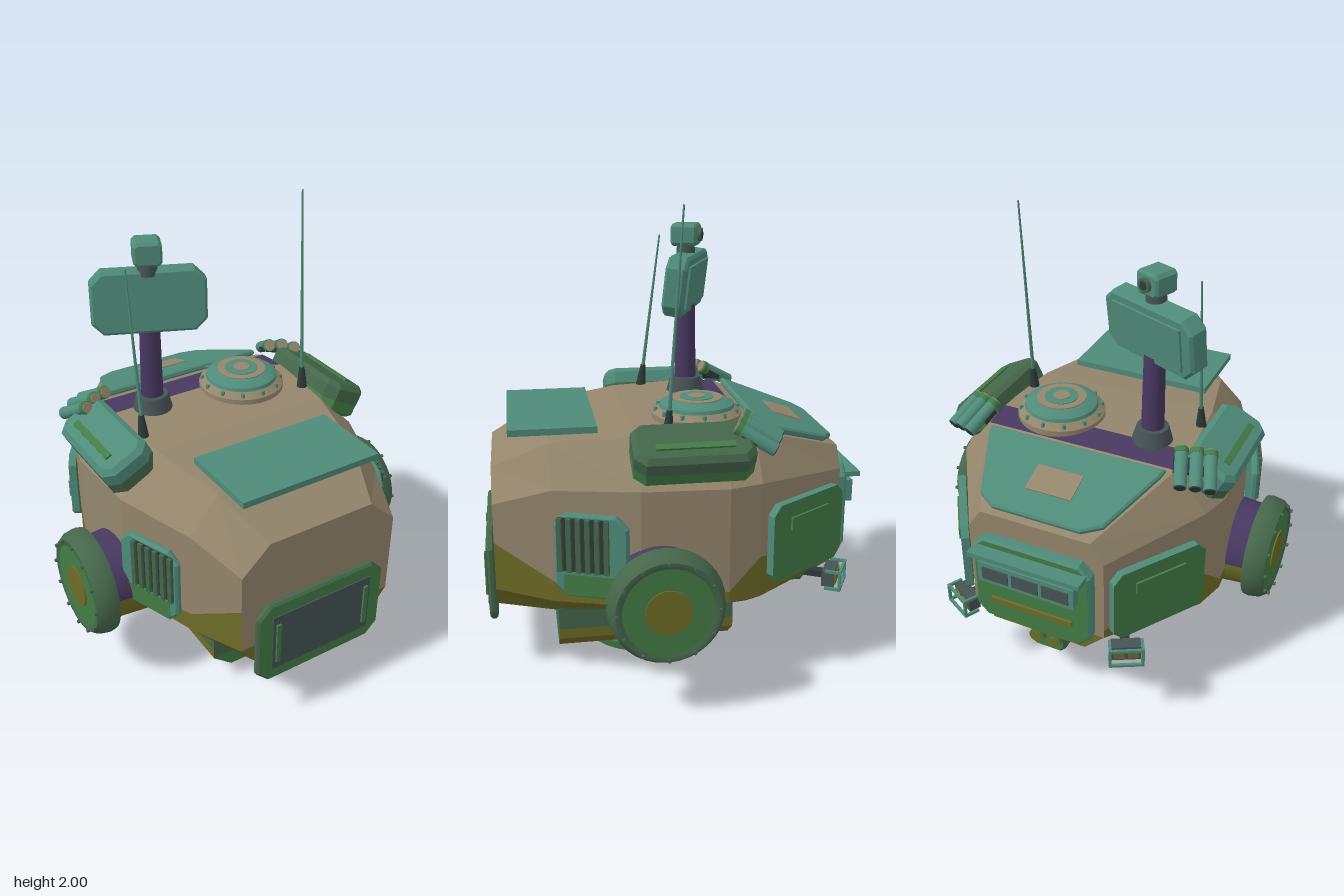
import * as THREE from 'three';
import { toCreasedNormals } from 'three/addons/utils/BufferGeometryUtils.js';

const mat = (name, color) => Object.assign(new THREE.MeshStandardMaterial({ color }), { name });
const tan = mat('tan', 0x94866c), teal = mat('teal', 0x4f8b79), green = mat('green', 0x437c45);
const olive = mat('olive', 0x6e6d27), purple = mat('purple', 0x483860), slate = mat('slate', 0x465355);
const dark = mat('dark', 0x2b3b3a), moss = mat('moss', 0x45674a);

export function createModel() {
  const root = new THREE.Group();
  root.name = 'turret';

  const group = (name, x, y, z, rx = 0, ry = 0, rz = 0, parent = root) => {
    const g = new THREE.Group();
    g.name = name;
    g.position.set(x, y, z);
    g.rotation.set(rx, ry, rz, 'YXZ');
    parent.add(g);
    return g;
  };
  const add = (name, geo, m, x = 0, y = 0, z = 0, parent = root) => {
    const mesh = new THREE.Mesh(geo, m);
    mesh.name = name;
    mesh.position.set(x, y, z);
    parent.add(mesh);
    return mesh;
  };
  const box = (name, w, h, d, m, x, y, z, parent) => add(name, new THREE.BoxGeometry(w, h, d), m, x, y, z, parent);
  const cyl = (name, r1, r2, h, m, x, y, z, parent, n = 20) =>
    add(name, new THREE.CylinderGeometry(r1, r2, h, n), m, x, y, z, parent);
  const lathe = (pts, n = 32) =>
    toCreasedNormals(new THREE.LatheGeometry(pts.map(p => new THREE.Vector2(...p)), n), 0.5);
  // Extrusion: material group 0 is the caps, group 1 the edges
  const extrude = (pts, depth, b = 0) => {
    const g = new THREE.ExtrudeGeometry(new THREE.Shape(pts.map(p => new THREE.Vector2(...p))), {
      depth: depth - 2 * b, bevelEnabled: b > 0, bevelSize: b, bevelThickness: b, bevelOffset: -b, bevelSegments: 1 });
    return g.translate(0, 0, b);
  };
  // Plate with cut corners, back at z = 0, facing +z
  const plate = (w, h, d, c, b = 0.01) => {
    const x = w / 2, y = h / 2;
    return extrude([[x, c - y], [x, y - c], [x - c, y], [c - x, y], [-x, y - c], [-x, c - y], [c - x, -y], [x - c, -y]], d, b);
  };

  // Faceted hull from cross-sections: z, top half width, top y, side half width,
  // shoulder y, paint line y, lower y, bottom half width, bottom y
  const sections = [
    [0.79, 0.25, 0.92, 0.38, 0.80, 0.63, 0.42, 0.29, 0.31],
    [0.55, 0.34, 1.04, 0.47, 0.88, 0.48, 0.39, 0.33, 0.28],
    [0.20, 0.42, 1.08, 0.60, 0.90, 0.43, 0.40, 0.36, 0.27],
    [-0.16, 0.45, 1.09, 0.62, 0.90, 0.45, 0.40, 0.36, 0.27],
    [-0.30, 0.44, 1.08, 0.58, 0.90, 0.58, 0.40, 0.36, 0.27],
    [-0.72, 0.25, 0.94, 0.31, 0.85, 0.50, 0.46, 0.22, 0.37],
  ];
  const rings = sections.map(([z, a, yt, w, ys, ym, yl, b, yb]) => {
    const half = [[a, yt], [w, ys], [w, ym], [w, yl], [b, yb]];
    return [...half, ...half.map(([x, y]) => [-x, y]).reverse()].map(([x, y]) => [x, y, z]);
  });
  const faces = new Map([[tan, []], [olive, []], [purple, []]]);
  const quad = (m, a, b, c, d) => faces.get(m).push(...a, ...b, ...c, ...a, ...c, ...d);
  for (let i = 0; i < 5; i++) for (let j = 0; j < 10; j++) {
    const k = (j + 1) % 10, low = j >= 2 && j <= 6;
    const m = i === 3 && j === 9 ? purple : low ? olive : tan;
    quad(m, rings[i][j], rings[i + 1][j], rings[i + 1][k], rings[i][k]);
  }
  for (let j = 0; j < 4; j++) {
    const m = j < 3 ? tan : olive, f = rings[0], r = rings[5];
    quad(m, f[j], f[j + 1], f[8 - j], f[9 - j]);
    quad(m, r[j + 1], r[j], r[9 - j], r[8 - j]);
  }
  // Orient every hull triangle outward from the hull centre
  for (const [m, p] of faces) {
    const A = new THREE.Vector3(), B = new THREE.Vector3(), C = new THREE.Vector3(), O = new THREE.Vector3(0, 0.65, 0);
    for (let i = 0; i < p.length; i += 9) {
      A.fromArray(p, i); B.fromArray(p, i + 3); C.fromArray(p, i + 6);
      const n = B.clone().sub(A).cross(C.clone().sub(A));
      if (n.dot(A.clone().sub(O)) < 0) { C.toArray(p, i + 3); B.toArray(p, i + 6); }
    }
    const g = new THREE.BufferGeometry();
    g.setAttribute('position', new THREE.Float32BufferAttribute(p, 3));
    g.computeVertexNormals();
    add(m.name + 'Hull', g, m);
  }

  // Lower hull and turning ring
  box('lowerHull', 0.70, 0.13, 0.77, moss, 0, 0.255, 0.145);
  box('lowerBand', 0.70, 0.045, 0.77, [olive, olive, moss, moss, moss, moss], 0, 0.1675, 0.145);
  add('keel', extrude([[-0.35, 0.145], [-0.26, 0.07], [0.26, 0.07], [0.35, 0.145]], 0.77), [green, olive], 0, 0, -0.24);
  cyl('ringNeck', 0.25, 0.25, 0.05, tan, 0, 0.055, 0.12, root, 32);
  cyl('turningRing', 0.275, 0.265, 0.04, green, 0, 0.022, 0.12, root, 32);
  cyl('ringCentre', 0.13, 0.13, 0.008, olive, 0, 0.004, 0.12, root, 32);

  // Front hatch
  const front = group('frontHatch', 0, 0.425, 0.79);
  add('frontFrame', plate(0.64, 0.41, 0.035, 0.06), [green, moss], 0, 0, 0, front);
  box('frontPlate', 0.50, 0.28, 0.008, slate, 0, 0, 0.036, front);
  for (const s of [-1, 1]) box('frontHandle', 0.02, 0.20, 0.012, green, s * 0.225, 0, 0.043, front);

  // Roof plates
  box('roofPlate', 0.66, 0.028, 0.37, teal, 0, 1.085, 0.53);
  const deck = group('rearDeck', 0, 1.083, -0.30, -1.89);
  const deckHalf = [[0.41, 0.03], [0.40, 0.07], [0.28, 0.37], [0.20, 0.42]];
  add('deckPlate', extrude([...deckHalf, ...deckHalf.map(([x, y]) => [-x, y]).reverse()], 0.03, 0.008), teal, 0, 0, 0, deck);
  box('deckPatch', 0.21, 0.13, 0.006, tan, 0, 0.235, 0.032, deck);

  // Cupola
  const cupola = group('cupola', 0.185, 1.062, -0.1);
  add('cupolaBase', lathe([[0.195, 0], [0.195, 0.045], [0.165, 0.07], [0, 0.07]]), tan, 0, 0, 0, cupola);
  add('cupolaDome', lathe([[0.165, 0.068], [0.16, 0.085], [0.12, 0.106], [0, 0.106]]), teal, 0, 0, 0, cupola);
  [[0.11, tan], [0.075, teal], [0.038, tan]].forEach(([r, m], i) =>
    cyl('cupolaRing', r, r, 0.004, m, 0, 0.108 + i * 0.003, 0, cupola, 32));
  for (let i = 0; i < 12; i++) {
    const t = i * Math.PI / 6;
    cyl('cupolaBolt', 0.009, 0.009, 0.02, teal, Math.cos(t) * 0.18, 0.06, Math.sin(t) * 0.18, cupola, 8);
  }

  // Sensor mast
  const mast = group('mast', -0.265, 1.07, -0.13);
  cyl('mastBase', 0.07, 0.095, 0.09, slate, 0, 0.04, 0, mast);
  cyl('mastPole', 0.045, 0.05, 0.38, purple, 0, 0.25, 0, mast);
  const head = group('sensorPanel', 0, 0.535, 0, -0.12, -0.40, 0, mast);
  add('panelBody', plate(0.49, 0.27, 0.095, 0.05, 0.012), teal, 0, 0, -0.047, head);
  box('panelBack', 0.38, 0.19, 0.012, teal, 0, 0, -0.051, head);
  cyl('cameraNeck', 0.04, 0.045, 0.06, slate, 0, 0.68, 0, mast);
  const camera = group('camera', 0, 0.75, 0, 0, -0.40, 0, mast);
  add('cameraBox', plate(0.12, 0.10, 0.12, 0.015), teal, 0, 0, -0.06, camera);
  cyl('cameraLens', 0.03, 0.03, 0.02, moss, 0, 0, -0.065, camera).rotation.x = Math.PI / 2;
  cyl('cameraGlass', 0.018, 0.018, 0.006, dark, 0, 0, -0.075, camera).rotation.x = Math.PI / 2;

  for (const s of [-1, 1]) {
    const side = s > 0 ? 'left' : 'right';

    // Whip aerials
    const h = s > 0 ? 0.90 : 0.71, lean = s > 0 ? -0.068 : -0.13;
    const aerial = group(side + 'Aerial', s * 0.415, 1.10, 0.062, lean);
    cyl('aerialBase', 0.012, 0.024, 0.10, dark, 0, 0.03, 0, aerial, 12);
    cyl('aerialRod', 0.004, 0.009, h, teal, 0, h / 2, 0, aerial, 8);

    // Round side drums, local y pointing outward; neck painted in two halves
    const drum = group(side + 'Drum', 0, 0.47, 0.12, 0, 0, -s * Math.PI / 2);
    [[purple, Math.PI], [olive, 0]].forEach(([m, start]) =>
      add('drumNeck', new THREE.CylinderGeometry(0.19, 0.205, 0.20, 20, 1, true, s > 0 ? start : Math.PI - start, Math.PI), m, 0, 0.62, 0, drum));
    add('drumRim', lathe([[0.18, 0.70], [0.235, 0.705], [0.24, 0.73], [0.232, 0.775], [0.212, 0.803], [0.195, 0.803], [0.18, 0.795]]), moss, 0, 0, 0, drum);
    cyl('drumFace', 0.195, 0.195, 0.02, green, 0, 0.788, 0, drum, 32);
    cyl('drumCentre', 0.095, 0.095, 0.008, olive, 0, 0.80, 0, drum, 32);
    for (let i = 0; i < 12; i++) {
      const t = i * Math.PI / 6;
      cyl('drumBolt', 0.008, 0.008, 0.02, moss, Math.cos(t) * 0.206, 0.804, Math.sin(t) * 0.206, drum, 8);
    }

    // Sloped shoulder pods: painted lower half under a lid
    const pod = group(side + 'Pod', s * 0.535, 1.015, -0.015, 0, 0, -s * 0.47);
    add('podBase', plate(0.23, 0.49, 0.10, 0.045, 0.02).rotateX(-Math.PI / 2), s > 0 ? green : moss, 0, -0.05, 0, pod);
    add('podLid', plate(0.232, 0.492, 0.10, 0.045, 0.022).rotateX(-Math.PI / 2), s > 0 ? moss : teal, 0, 0, 0, pod);
    box('podStrip', 0.03, 0.012, 0.32, green, s * 0.04, 0.103, 0, pod);

    // Launcher tubes, sloping down to the rear
    const rack = group(side + 'Launcher', s * 0.525, 1.11, -0.295, -0.50, -s * 0.34, -s * 0.18);
    box('launcherBracket', 0.18, 0.02, 0.07, dark, 0, -0.025, 0.02, rack);
    for (let i = -1; i <= 1; i++) {
      const y = -Math.abs(i) * 0.008, x = i * 0.062;
      const tube = (name, r, len, m, z) => { cyl(name, r, r, len, m, x, y, z, rack, 16).rotation.x = Math.PI / 2; };
      tube('launcherTube', 0.028, 0.18, teal, 0);
      tube('launcherCollar', 0.03, 0.022, green, 0.076);
      tube('launcherCap', 0.025, 0.006, tan, 0.091);
      tube('launcherMouth', 0.023, 0.006, dark, -0.091);
    }

    // Louvred side grilles
    const grille = group(side + 'Grille', s * 0.56, 0.63, 0.392, 0, s * (Math.PI / 2 - 0.36));
    add('grilleFrame', plate(0.31, 0.36, 0.035, 0.05), teal, 0, 0, 0, grille);
    box('grillePatch', 0.23, 0.09, 0.006, green, 0, -0.125, 0.034, grille);
    box('grillePlate', 0.21, 0.23, 0.006, dark, -s * 0.03, 0.05, 0.036, grille);
    for (let i = 0; i < 6; i++) box('louvre', 0.02, 0.23, 0.018, moss, -s * 0.03 + (i - 2.5) * 0.039, 0.05, 0.043, grille);

    // Rear quarter panels
    const quarter = group(side + 'QuarterPanel', s * 0.452, 0.63, -0.515, 0, s * 2.16);
    add('quarterPlate', plate(0.45, 0.34, 0.035, 0.04, 0), [green, teal], 0, 0, 0, quarter);
    box('quarterStrip', 0.24, 0.055, 0.014, green, 0, 0.075, 0.038, quarter);

    // Caged tail lamps
    const lamp = group(side + 'TailLamp', s * 0.385, 0.385, -0.665, 0, s * 2.65);
    box('lampArm', 0.04, 0.03, 0.16, dark, 0, 0, -0.08, lamp);
    box('lampBack', 0.125, 0.07, 0.055, slate, 0, 0, 0.007, lamp);
    for (const e of [-1, 1]) {
      box('cageRail', 0.15, 0.012, 0.012, teal, 0, e * 0.04, 0.06, lamp);
      for (const f of [-1, 1]) box('cageBar', 0.012, 0.012, 0.07, teal, f * 0.069, e * 0.04, 0.03, lamp);
      box('cagePost', 0.012, 0.08, 0.012, teal, e * 0.069, 0, 0.06, lamp);
      box('lampLens', 0.045, 0.045, 0.008, olive, e * 0.03, 0, 0.037, lamp);
    }

    // Tow rings
    add('towRing', new THREE.TorusGeometry(0.027, 0.009, 8, 20), moss, s * 0.17, 0.295, -0.43).rotation.y = Math.PI / 2;
  }

  // Rear locker, local z pointing backward
  const rear = group('rearLocker', 0, 0.635, -0.70, 0, Math.PI);
  add('lockerBox', plate(0.54, 0.42, 0.07, 0.05), [green, teal], 0, 0, 0, rear);
  box('lockerHood', 0.51, 0.022, 0.10, teal, 0, 0.165, 0.085, rear);
  box('windowFrame', 0.44, 0.10, 0.05, teal, 0, 0.075, 0.09, rear);
  for (let i = -1; i <= 1; i++) box('rearWindow', 0.12, 0.06, 0.008, slate, i * 0.138, 0.075, 0.116, rear);
  box('lockerStripe', 0.38, 0.025, 0.012, olive, 0, -0.10, 0.074, rear);

  // Twin lamp unit under the tail
  const unit = group('rearLampUnit', 0, 0.275, -0.52, 0, Math.PI);
  box('unitMount', 0.08, 0.08, 0.08, dark, 0, 0.07, 0.06, unit);
  add('unitBox', plate(0.17, 0.14, 0.13, 0.025), [green, moss], 0, 0, 0, unit);
  for (const e of [-1, 1]) {
    cyl('unitBezel', 0.036, 0.036, 0.03, green, e * 0.04, 0.01, 0.14, unit).rotation.x = Math.PI / 2;
    cyl('unitLens', 0.025, 0.025, 0.008, olive, e * 0.04, 0.01, 0.156, unit).rotation.x = Math.PI / 2;
  }
  return root;
}
